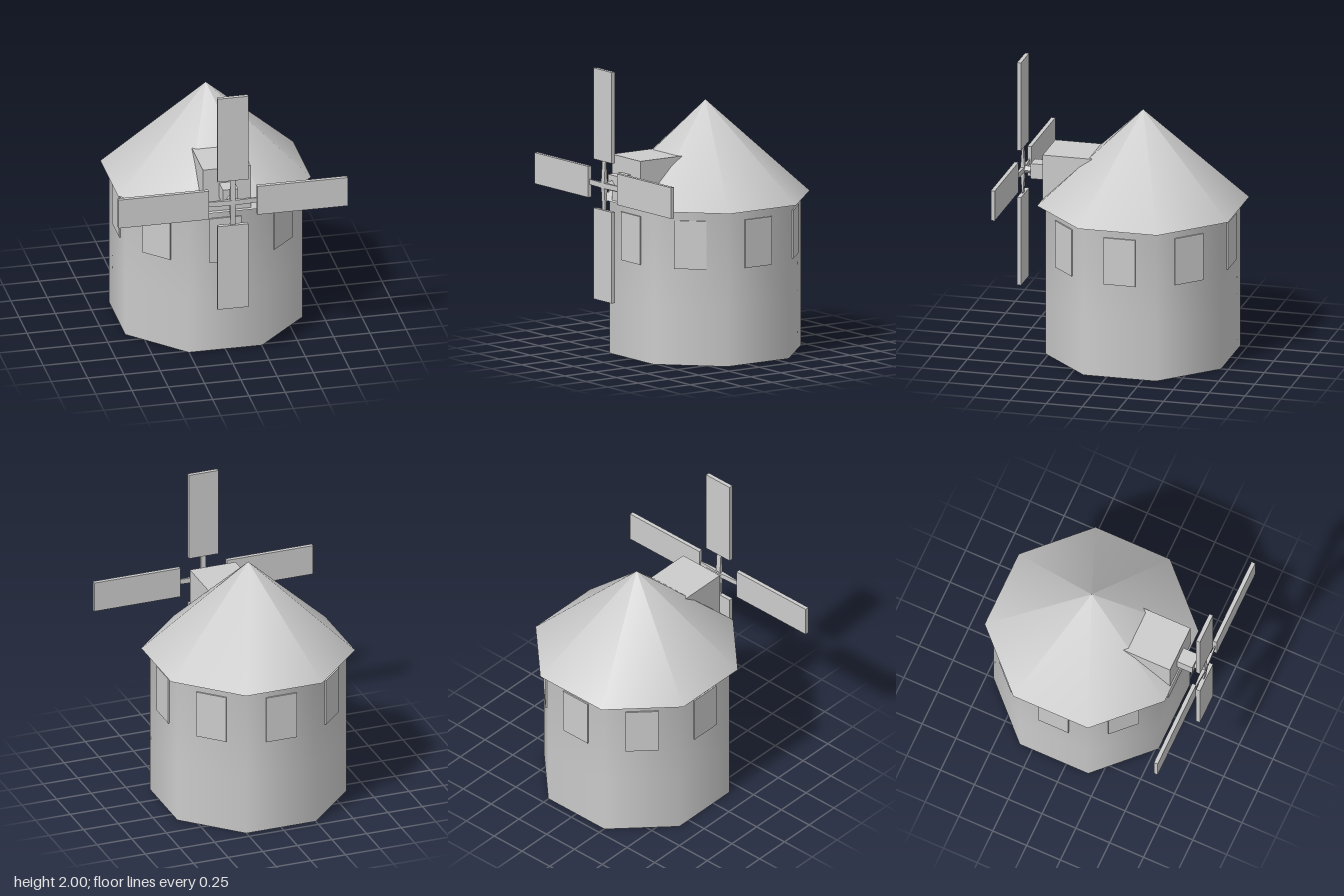
import * as THREE from 'three';

const grey = new THREE.MeshStandardMaterial({ color: 0xcccccc, side: THREE.DoubleSide });
grey.name = 'plainGrey';

const TOWER_Z = -0.09; // axis of the octagonal tower
const HUB_Y = 1.21, HUB_Z = 0.745;
const toRadius = (apothem) => apothem / Math.cos(Math.PI / 8);

function add(parent, name, geometry, x = 0, y = 0, z = 0) {
  const mesh = new THREE.Mesh(geometry, grey);
  mesh.name = name;
  mesh.position.set(x, y, z);
  parent.add(mesh);
  return mesh;
}

// Box given by its lower and upper limits
function addBox(parent, name, [x0, x1], [y0, y1], [z0, z1]) {
  return add(parent, name, new THREE.BoxGeometry(x1 - x0, y1 - y0, z1 - z0),
    (x0 + x1) / 2, (y0 + y1) / 2, (z0 + z1) / 2);
}

export function createModel() {
  const model = new THREE.Group();
  model.name = 'windmill';

  // Open-bottomed eight-sided wall, soffit and pointed roof in one smooth skin
  const wall = toRadius(0.61), eave = toRadius(0.665);
  const profile = [[wall, 0], [wall, 0.4], [wall, 1.055], [eave, 1.055], [0, 1.71]]
    .map(([r, y]) => new THREE.Vector2(r, y));
  add(model, 'towerAndRoof', new THREE.LatheGeometry(profile, 8, Math.PI / 8), 0, 0, TOWER_Z);

  // One window panel through each wall
  const windows = new THREE.Group();
  windows.name = 'windows';
  windows.position.z = TOWER_Z;
  model.add(windows);
  for (let i = 0; i < 8; i++) {
    const a = i * Math.PI / 4;
    const pane = add(windows, 'window', new THREE.BoxGeometry(0.22, 0.33, 0.02),
      Math.sin(a) * 0.61, 0.825, Math.cos(a) * 0.61);
    pane.rotation.y = a;
  }

  // Dormer, axle block and shaft
  addBox(model, 'dormer', [-0.165, 0.165], [1.065, 1.38], [0.1, 0.565]);
  addBox(model, 'axleBlock', [-0.053, 0.053], [1.165, 1.272], [0.55, 0.678]);
  const shaft = add(model, 'shaft', new THREE.CylinderGeometry(0.026, 0.026, 0.09, 4).toNonIndexed(),
    0, HUB_Y, 0.7);
  shaft.geometry.computeVertexNormals();
  shaft.rotation.x = Math.PI / 2;

  // Four sails, each a flat blade on a spoke that thins outwards
  const sails = new THREE.Group();
  sails.name = 'sails';
  sails.position.set(0, HUB_Y, HUB_Z);
  model.add(sails);
  for (let i = 0; i < 4; i++) {
    const sail = new THREE.Group();
    sail.name = 'sail';
    sail.rotation.z = i * Math.PI / 2;
    sails.add(sail);
    addBox(sail, 'blade', [-0.106, 0.106], [0.167, 0.79], [-0.014, 0.014]);
    const spoke = new THREE.BoxGeometry(0.036, 0.17, 0.03);
    const p = spoke.attributes.position;
    for (let v = 0; v < p.count; v++) if (p.getY(v) > 0) p.setZ(v, p.getZ(v) * 0.25);
    spoke.computeVertexNormals();
    add(sail, 'spoke', spoke, 0, 0.085, 0);
  }
  return model;
}
